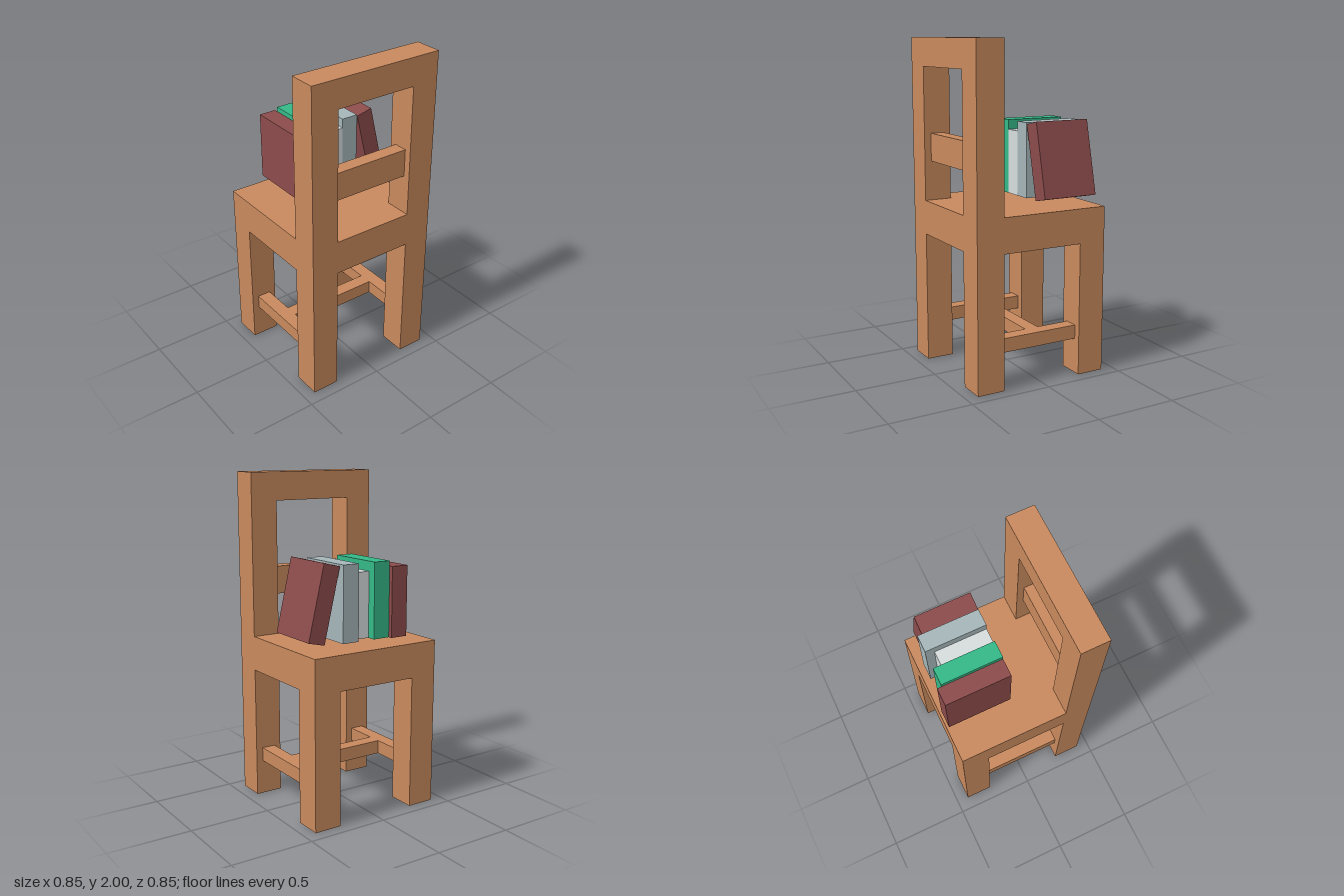
import * as THREE from 'three';

const material = (color) => new THREE.MeshStandardMaterial({ color });

// Box given by its [min, max] extent on each axis
function block(name, mat, [x0, x1], [y0, y1], [z0, z1]) {
  const mesh = new THREE.Mesh(new THREE.BoxGeometry(x1 - x0, y1 - y0, z1 - z0), mat);
  mesh.position.set((x0 + x1) / 2, (y0 + y1) / 2, (z0 + z1) / 2);
  mesh.name = name;
  return mesh;
}

export function createModel() {
  const model = new THREE.Group();
  model.name = 'chairWithBooks';

  const wood = material(0xc8895d);
  const OUT = 0.425, IN = 0.255; // outer and inner faces of the legs
  const SEAT_LOW = 0.81, SEAT_TOP = 1.02;

  // Chair
  const chair = new THREE.Group();
  chair.name = 'chair';
  chair.add(block('seat', wood, [-OUT, OUT], [SEAT_LOW, SEAT_TOP], [-OUT, OUT]));

  for (const side of [-1, 1]) {
    const label = side > 0 ? 'left' : 'right';
    const xs = side > 0 ? [IN, OUT] : [-OUT, -IN];
    // Legs, backrest post and side stretcher
    chair.add(block(label + 'PostLeg', wood, xs, [0, SEAT_LOW], [IN, OUT]));
    chair.add(block(label + 'OpenLeg', wood, xs, [0, SEAT_LOW], [-OUT, -IN]));
    chair.add(block(label + 'BackPost', wood, xs, [SEAT_TOP, 2], [IN, OUT]));
    const sx = side * 0.34;
    chair.add(block(label + 'Stretcher', wood, [sx - 0.0425, sx + 0.0425], [0.215, 0.3], [-IN, IN]));
  }
  chair.add(block('crossStretcher', wood, [-0.2975, 0.2975], [0.215, 0.3], [-0.0425, 0.0425]));

  // Backrest rails
  chair.add(block('topRail', wood, [-IN, IN], [1.83, 2], [IN, OUT]));
  chair.add(block('middleRail', wood, [-IN, IN], [1.26, 1.43], [0.2975, 0.3825]));
  model.add(chair);

  // Row of books: x extent, top, far z
  const books = new THREE.Group();
  books.name = 'books';
  const BASE = 1.07, SPINE = -0.012;
  const red = material(0x8c4b4b);
  const row = [
    ['redBook', red, [-0.215, -0.107], 1.485, -0.413],
    ['greenBook', material(0x35b888), [-0.107, -0.001], 1.515, -0.387],
    ['whiteBook', material(0xd7dddd), [-0.001, 0.106], 1.457, -0.334],
    ['greyBook', material(0xa5b6b9), [0.106, 0.212], 1.515, -0.387],
  ];
  for (const [name, mat, xs, top, z] of row) {
    books.add(block(name, mat, xs, [BASE, top], [z, SPINE]));
  }

  // Book leaning on the row, turned about its lower inner edge
  const leaning = new THREE.Group();
  leaning.name = 'leaningBook';
  leaning.add(block('leaningBookBody', red, [0, 0.107], [0, 0.447], [-0.359, SPINE]));
  leaning.position.set(0.318, BASE, 0);
  leaning.rotation.z = 0.232;
  books.add(leaning);
  model.add(books);

  return model;
}
